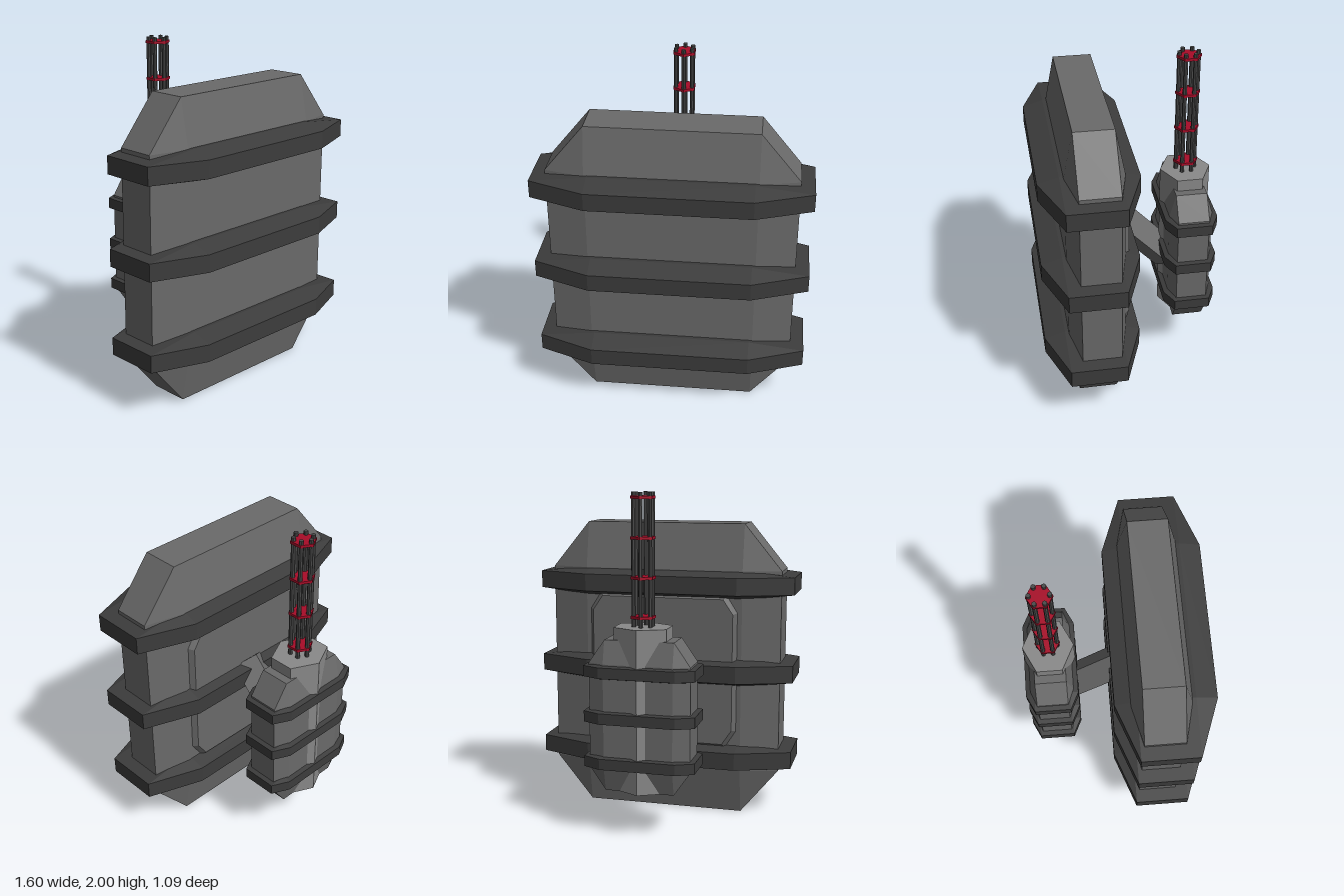
import * as THREE from 'three';
import { ConvexGeometry } from 'three/addons/geometries/ConvexGeometry.js';

const paint = (color) => new THREE.MeshStandardMaterial({ color, flatShading: true });

// Chamfered corners of an octagon: hx, hz are half sizes, fx, fz half lengths of the flats
function octagon(hx, hz, fx, fz, y) {
  const pts = [];
  for (const sx of [-1, 1]) for (const sz of [-1, 1]) {
    pts.push(new THREE.Vector3(sx * hx, y, sz * fz), new THREE.Vector3(sx * fx, y, sz * hz));
  }
  return pts;
}

// Octagonal block whose ends taper to a rectangle as wide as the flats
function taperedBlock(hx, hz, fx, fz, halfWall, halfHeight) {
  const pts = [];
  for (const s of [-1, 1]) {
    pts.push(...octagon(hx, hz, fx, fz, s * halfWall));
    for (const sx of [-1, 1]) for (const sz of [-1, 1]) {
      pts.push(new THREE.Vector3(sx * fx, s * halfHeight, sz * fz));
    }
  }
  return new ConvexGeometry(pts);
}

export function createModel() {
  const model = new THREE.Group();
  model.name = 'armouredPackWithGun';
  const bodyGrey = paint(0x6a6a6a), bandGrey = paint(0x3c3c3c);
  const lightGrey = paint(0x8a8a8a), barrelGrey = paint(0x4a4a4a), red = paint(0xa80c28);

  const add = (name, geometry, material, x, y, z, parent = model) => {
    const mesh = new THREE.Mesh(geometry, material);
    mesh.name = name;
    mesh.position.set(x, y, z);
    parent.add(mesh);
    return mesh;
  };

  // Main tank and its three bands
  add('mainTank', taperedBlock(0.72, 0.17, 0.49, 0.115, 0.62, 0.9), bodyGrey, 0, 0.9, 0.23);
  const bandGeo = taperedBlock(0.8, 0.287, 0.47, 0.165, 0.0525, 0.09);
  for (const y of [0.36, 0.9, 1.435]) add('mainBand', bandGeo, bandGrey, 0, y, 0.257);

  // Bevelled plate on the back of the tank
  const plateGeo = new ConvexGeometry([
    ...octagon(0.47, 0.48, 0.4, 0.37, -0.025),
    ...octagon(0.44, 0.45, 0.38, 0.36, 0.015),
  ]);
  add('backPlate', plateGeo, bodyGrey, 0, 0.9, 0.045).rotation.x = -Math.PI / 2;

  // Diamond-section strut sloping down to the gun housing
  const from = new THREE.Vector3(-0.012, 0.96, 0.055), to = new THREE.Vector3(-0.012, 0.6, -0.29);
  const strut = add('strut', new THREE.CylinderGeometry(0.1, 0.1, from.distanceTo(to), 4), bodyGrey, 0, 0, 0);
  strut.position.copy(from).lerp(to, 0.5);
  strut.quaternion.setFromUnitVectors(new THREE.Vector3(0, 1, 0), from.clone().sub(to).normalize());
  strut.scale.x = 1.15;

  // Gun housing, bands and hexagonal core
  const gun = new THREE.Group();
  gun.name = 'gun';
  gun.position.z = -0.385;
  model.add(gun);
  add('gunHousing', taperedBlock(0.3, 0.13, 0.205, 0.093, 0.31, 0.447), bodyGrey, 0, 0.722, 0, gun);
  const gunBandGeo = taperedBlock(0.33, 0.158, 0.225, 0.107, 0.032, 0.045);
  for (const y of [0.447, 0.717, 0.985]) add('gunBand', gunBandGeo, bandGrey, 0, y, 0, gun);
  const core = add('gunCore', new THREE.CylinderGeometry(0.152, 0.152, 0.965, 6), lightGrey, 0, 0.7575, 0, gun);
  core.scale.x = 1.18;

  // Six barrels held by red hexagonal spacers
  const barrelGeo = new THREE.CylinderGeometry(0.013, 0.013, 0.8, 8);
  for (let i = 0; i < 6; i++) {
    const a = (i * Math.PI) / 3;
    add('barrel', barrelGeo, barrelGrey, Math.sin(a) * 0.056, 1.6, Math.cos(a) * 0.056, gun);
  }
  const spacerGeo = new THREE.CylinderGeometry(0.074, 0.074, 0.016, 6);
  for (const y of [1.295, 1.52, 1.745, 1.97]) add('barrelSpacer', spacerGeo, red, 0, y, 0, gun);

  return model;
}
